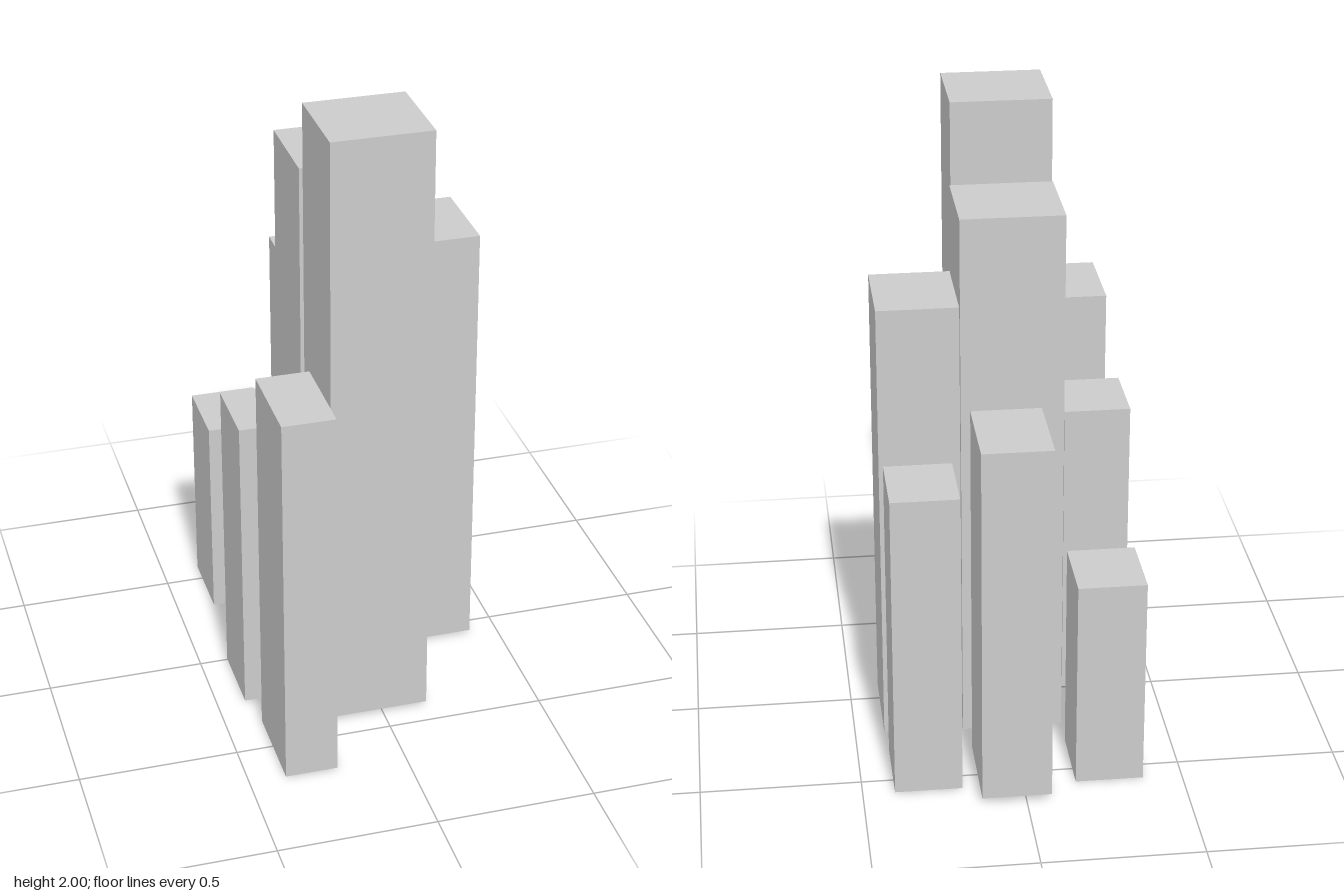
import * as THREE from 'three';

export function createModel() {
  const group = new THREE.Group();
  group.name = 'towerCluster';
  const material = new THREE.MeshStandardMaterial({ color: 0xcccccc, flatShading: true });

  // Rectangular block given by its extents along each axis
  const addTower = (name, [x0, x1], [y0, y1], [z0, z1]) => {
    const mesh = new THREE.Mesh(new THREE.BoxGeometry(x1 - x0, y1 - y0, z1 - z0), material);
    mesh.position.set((x0 + x1) / 2, (y0 + y1) / 2, (z0 + z1) / 2);
    mesh.name = name;
    group.add(mesh);
  };

  // Central row, front to back
  addTower('tallFrontTower', [-0.17, 0.145], [0.013, 2], [0.12, 0.42]);
  addTower('middleTower', [-0.163, 0.155], [0.015, 1.76], [-0.25, 0.05]);
  addTower('backTower', [-0.078, 0.138], [0.02, 1.193], [-0.667, -0.367]);

  // +x side
  addTower('leftTower', [0.153, 0.407], [0.01, 1.472], [-0.228, 0.07]);
  addTower('backLeftTower', [0.19, 0.4], [0.003, 1.005], [-0.575, -0.328]);

  // -x side
  addTower('frontRightTower', [-0.385, -0.22], [0.003, 1.245], [0.365, 0.665]);
  addTower('rightTower', [-0.41, -0.2], [0.003, 1.005], [0, 0.244]);
  addTower('backRightTower', [-0.377, -0.165], [0, 0.683], [-0.575, -0.328]);

  return group;
}
